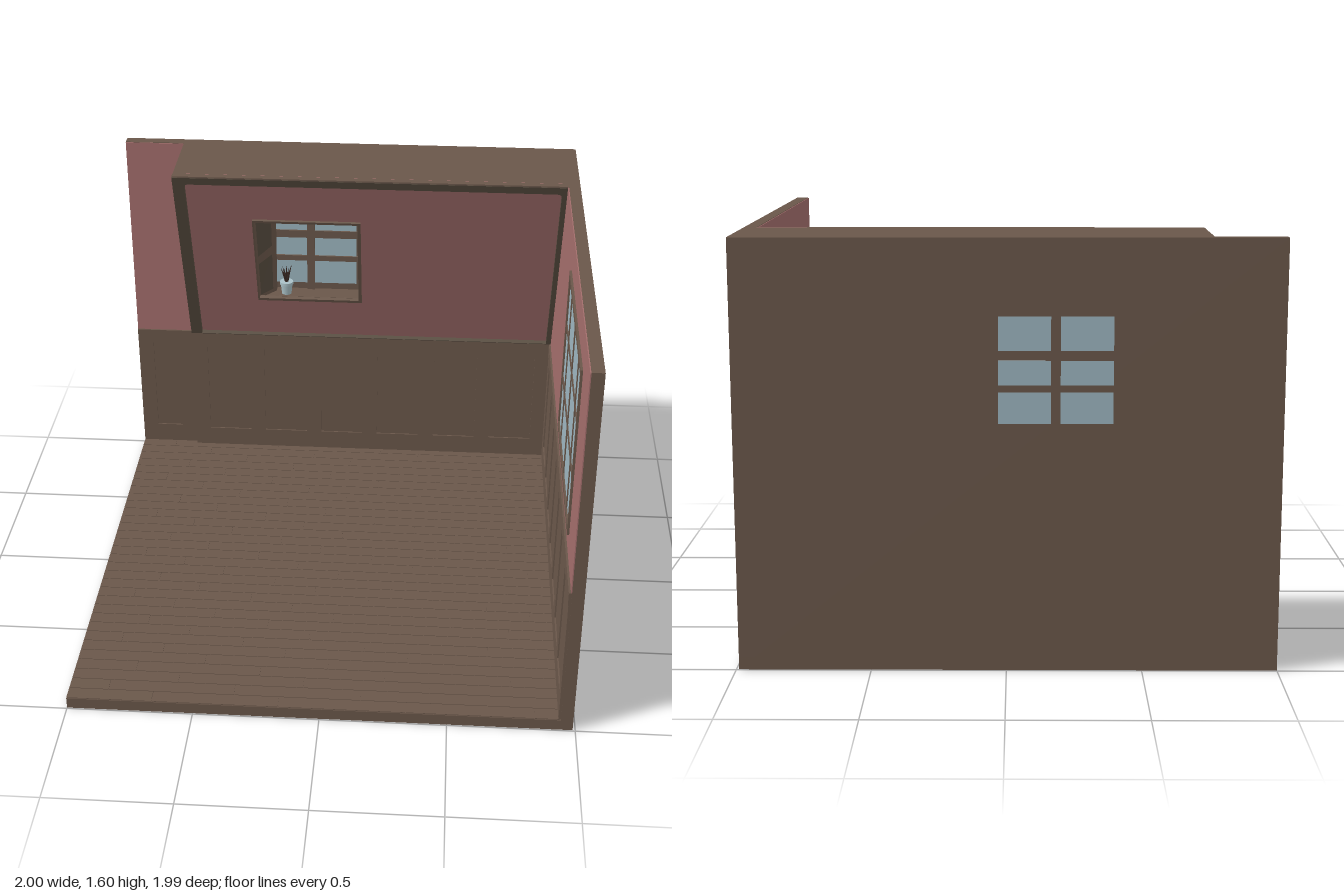
import * as THREE from 'three';

const mat = (name, color, side = THREE.FrontSide) => {
  const m = new THREE.MeshStandardMaterial({ color, side });
  m.name = name;
  return m;
};

export function createModel() {
  const root = new THREE.Group();
  root.name = 'atticRoom';
  const wood = mat('brown wood', 0x6a574a);
  const woodThin = mat('brown wood lining', 0x6a574a, THREE.DoubleSide);
  const beam = mat('dark beam', 0x584d40);
  const pink = mat('pink wall', 0xa36e6c);
  const glass = mat('pale blue glass', 0x9db6c0);
  const potMat = mat('pale pot', 0xa9c0c6);
  const leafMat = mat('dark leaf', 0x3a2a24);

  const add = (name, geo, m, parent = root) => {
    const mesh = new THREE.Mesh(geo, m);
    mesh.name = name;
    parent.add(mesh);
    return mesh;
  };
  // box given by its minimum and maximum on each axis
  const box = (name, m, x0, x1, y0, y1, z0, z1, parent = root) => {
    const b = add(name, new THREE.BoxGeometry(x1 - x0, y1 - y0, z1 - z0), m, parent);
    b.position.set((x0 + x1) / 2, (y0 + y1) / 2, (z0 + z1) / 2);
    return b;
  };
  const quad = (name, m, a, b, c, d) => {
    const g = new THREE.BufferGeometry();
    g.setAttribute('position', new THREE.Float32BufferAttribute([...a, ...b, ...c, ...d], 3));
    g.setIndex([0, 1, 2, 0, 2, 3]);
    g.computeVertexNormals();
    return add(name, g, m);
  };
  const rect = (target, x0, x1, y0, y1) => {
    target.moveTo(x0, y0).lineTo(x1, y0).lineTo(x1, y1).lineTo(x0, y1).closePath();
    return target;
  };
  const extrude = (shape, depth) =>
    new THREE.ExtrudeGeometry(shape, { depth, bevelEnabled: false, curveSegments: 4 });

  // Floor slab with staggered planks
  box('floorSlab', wood, -1, 0.99, 0, 0.047, -0.995, 0.995);
  const rows = 32, pitch = 1.94 / rows;
  for (let r = 0; r < rows; r++) {
    const z = -0.945 + r * pitch;
    const cuts = [-1];
    for (let x = -1 + 0.16 + ((r * 7) % 5) * 0.09; x < 0.9; x += 0.5) cuts.push(x);
    cuts.push(0.94);
    for (let i = 0; i + 1 < cuts.length; i++)
      box('floorPlank', wood, cuts[i], cuts[i + 1] - 0.003, 0.046, 0.05, z, z + pitch - 0.003);
  }

  // Outer walls and their pink upper facings
  box('backWall', wood, -1, 0.99, 0, 1.6, -0.995, -0.95);
  box('rightWall', wood, 0.942, 0.99, 0, 1.6, -0.95, 0.995);
  box('backWallPaint', pink, -1, -0.74, 0.66, 1.598, -0.95, -0.946);
  box('rightWallPaint', pink, 0.938, 0.942, 0.66, 1.598, -0.95, 0.994);

  // Wainscot: backing, rails, stiles; runs along local x, faces local +z
  const wainscot = (name, length, panels) => {
    const g = new THREE.Group();
    g.name = name;
    box('panelBacking', wood, 0, length, 0.05, 0.65, 0, 0.004, g);
    box('capRail', wood, 0, length, 0.6, 0.66, 0, 0.012, g);
    box('baseRail', wood, 0, length, 0.05, 0.14, 0, 0.01, g);
    const w = 0.07;
    for (let i = 0; i <= panels; i++) {
      const x = (i * (length - w)) / panels;
      box('stile', wood, x, x + w, 0.14, 0.6, 0, 0.01, g);
    }
    root.add(g);
    return g;
  };
  wainscot('leftWainscot', 0.26, 1).position.set(-1, 0, -0.95);
  wainscot('kneeWallWainscot', 1.68, 6).position.set(-0.74, 0, -0.932);
  const side = wainscot('rightWainscot', 1.914, 7);
  side.rotation.y = -Math.PI / 2;
  side.position.set(0.942, 0, -0.92);

  // Knee wall and ceiling cap around the sloped wall
  box('kneeWall', wood, -0.74, 0.942, 0.05, 0.66, -0.95, -0.93);
  box('ceilingCap', wood, -0.74, 0.942, 1.594, 1.6, -0.95, -0.58);
  const cheek = new THREE.Shape([[0.95, 0.66], [0.925, 0.66], [0.59, 1.594], [0.95, 1.594]]
    .map(p => new THREE.Vector2(...p)));
  const cheekMesh = add('slopeCheek', extrude(cheek, 0.006), pink);
  cheekMesh.rotation.y = Math.PI / 2;
  cheekMesh.position.x = -0.739;

  // Sloped wall leaning into the room, with window opening and dark frame
  const tilt = Math.atan2(0.34, 0.94);
  const v = y => (y - 0.66) / Math.cos(tilt);
  const slope = new THREE.Group();
  slope.name = 'slopedWall';
  slope.position.set(0, 0.66, -0.92);
  slope.rotation.x = tilt;
  root.add(slope);
  const nx0 = -0.41, nx1 = 0.055, ny0 = 0.885, ny1 = 1.35;
  const panel = rect(new THREE.Shape(), -0.73, 0.94, 0, v(1.59));
  panel.holes.push(rect(new THREE.Path(), nx0, nx1, v(ny0), v(ny1)));
  add('slopePaint', extrude(panel, 0.01), pink, slope).position.z = -0.03;
  const frame = rect(new THREE.Shape(), -0.742, 0.94, 0, v(1.592));
  const x0 = -0.692, x1 = 0.916, y0 = 0.003, y1 = v(1.557), r = 0.02;
  const inner = new THREE.Path();
  inner.moveTo(x0, y0).lineTo(x1, y0).lineTo(x1, y1 - r);
  inner.quadraticCurveTo(x1, y1, x1 - r, y1).lineTo(x0 + r, y1);
  inner.quadraticCurveTo(x0, y1, x0, y1 - r).closePath();
  frame.holes.push(inner);
  add('slopeFrame', extrude(frame, 0.022), beam, slope).position.z = -0.022;
  const trim = rect(new THREE.Shape(), nx0 - 0.004, nx1 + 0.006, v(ny0) - 0.008, v(ny1) + 0.004);
  trim.holes.push(rect(new THREE.Path(), nx0 + 0.004, nx1 - 0.008, v(ny0) + 0.006, v(ny1) - 0.008));
  add('nicheTrim', extrude(trim, 0.018), wood, slope).position.z = -0.028;

  // Window niche with a flared left side
  const sz = y => -0.942 + ((y - 0.66) * 0.34) / 0.94;
  const zb = -0.949, bx0 = -0.335, bx1 = 0.045, f0 = sz(ny0), f1 = sz(ny1);
  quad('nicheLeft', woodThin, [nx0, ny0, f0], [bx0, ny0, zb], [bx0, ny1, zb], [nx0, ny1, f1]);
  quad('nicheRight', woodThin, [bx1, ny0, zb], [nx1, ny0, f0], [nx1, ny1, f1], [bx1, ny1, zb]);
  quad('nicheTop', woodThin, [bx0, ny1, zb], [bx1, ny1, zb], [nx1, ny1, f1], [nx0, ny1, f1]);
  quad('nicheSill', woodThin, [nx0, ny0, f0], [nx1, ny0, f0], [bx1, ny0, zb], [bx0, ny0, zb]);
  box('sillBoard', wood, bx0, bx1, ny0, 0.9, zb, -0.86);
  // recessed panels on the flared side
  for (const [a, b] of [[0.905, 1.09], [1.135, 1.335]]) {
    const at = (u, y) => [nx0 + (bx0 - nx0) * u + 0.004, y, sz(y) + (zb - sz(y)) * u];
    quad('nichePanel', beam, at(0.06, a), at(0.72, a), at(0.72, b), at(0.06, b));
  }

  // Back window: panes through the wall, bars on the inside
  const backRows = [[0.93, 1.045], [1.07, 1.16], [1.195, 1.32]];
  for (const [a, b] of [[-0.385, -0.195], [-0.16, 0.03]])
    for (const [c, d] of backRows) box('backPane', glass, a, b, c, d, -0.997, -0.948);
  box('backWindowBar', wood, -0.195, -0.16, 0.9, ny1, -0.95, -0.938);
  for (const [a, b] of [[1.045, 1.07], [1.16, 1.195]])
    box('backWindowBar', wood, bx0, bx1, a, b, -0.95, -0.94);

  // Right window: panes, outer frame and bars showing on both sides of the wall
  const cols = [[-0.06, 0.07], [0.086, 0.316], [0.337, 0.567], [0.583, 0.717]];
  const sideRows = [[0.765, 0.965], [0.99, 1.206], [1.23, 1.436]];
  for (const [a, b] of cols)
    for (const [c, d] of sideRows) box('sidePane', glass, 0.936, 0.992, c, d, a, b);
  for (const [a, b] of [[-0.075, -0.06], [0.717, 0.733]])
    box('sideFrame', wood, 0.929, 1, 0.74, 1.46, a, b);
  for (const [a, b] of [[0.74, 0.765], [1.436, 1.46]])
    box('sideFrame', wood, 0.929, 1, a, b, -0.06, 0.717);
  for (let i = 0; i < 3; i++)
    box('sideBar', wood, 0.932, 0.997, 0.765, 1.436, cols[i][1], cols[i + 1][0]);
  for (let i = 0; i < 2; i++)
    box('sideBar', wood, 0.933, 0.996, sideRows[i][1], sideRows[i + 1][0], -0.06, 0.717);

  // Potted plant on the sill
  const plant = new THREE.Group();
  plant.name = 'pottedPlant';
  plant.position.set(-0.287, 0.9, -0.895);
  root.add(plant);
  add('pot', new THREE.CylinderGeometry(0.028, 0.022, 0.055, 16), potMat, plant).position.y = 0.0275;
  add('potRim', new THREE.CylinderGeometry(0.031, 0.031, 0.012, 16), potMat, plant).position.y = 0.054;
  for (let i = 0; i < 8; i++) {
    const h = 0.07 + ((i * 3) % 4) * 0.006;
    const geo = new THREE.ConeGeometry(0.008, h, 5);
    geo.translate(0, h / 2, 0);
    const leaf = add('leaf', geo, leafMat, plant);
    leaf.position.y = 0.056;
    leaf.rotation.set(0, (i * Math.PI) / 4, i % 2 ? 0.38 : 0.16, 'YXZ');
  }
  return root;
}
